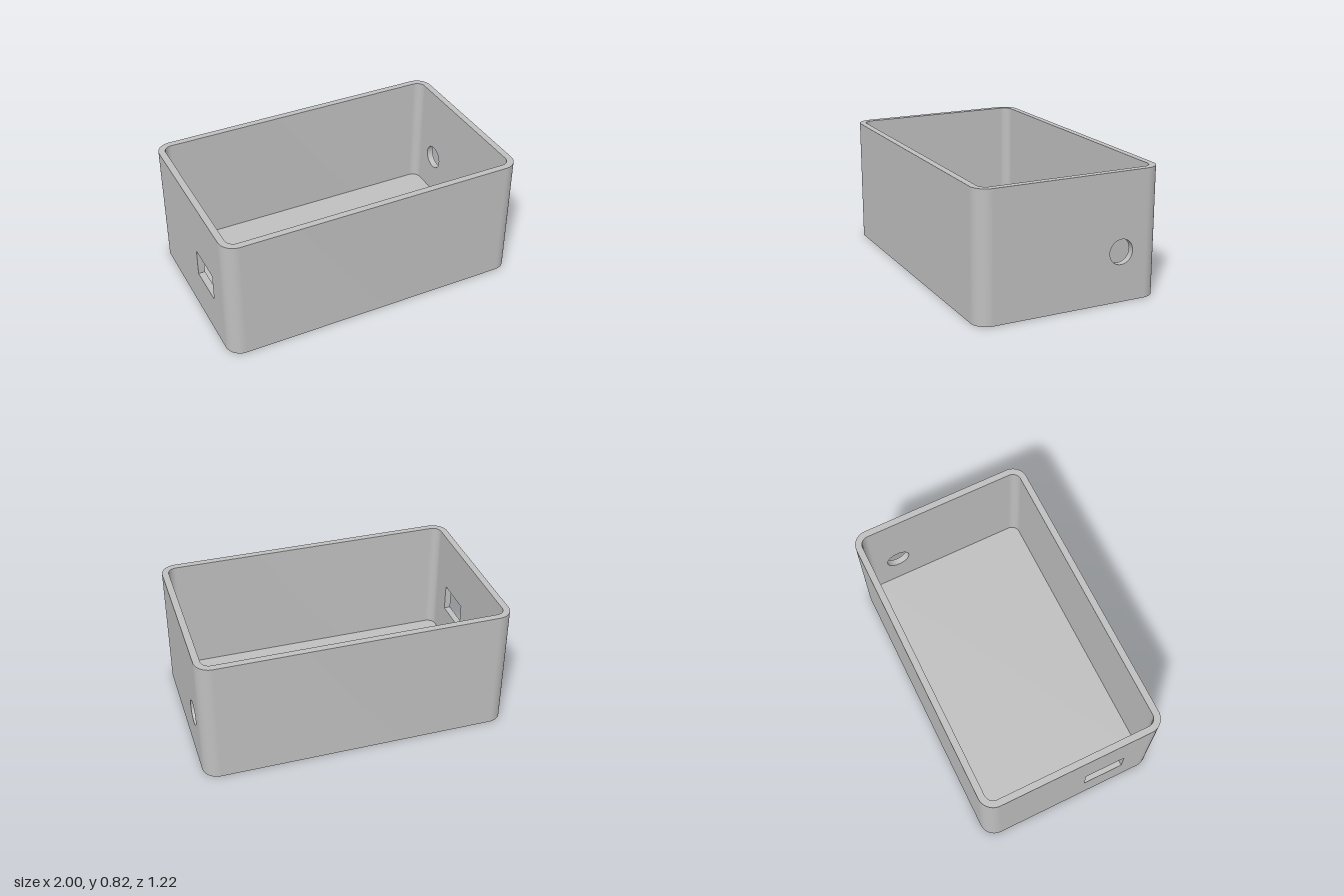
import * as THREE from 'three';
import { toCreasedNormals } from 'three/addons/utils/BufferGeometryUtils.js';

const W = 1, D = 0.61, H = 0.82;      // half width, half depth, height
const R = 0.1, T = 0.043;             // corner radius, wall thickness
const FLOOR = 0.045, RECESS = 0.022;  // floor thickness, foot recess depth
const CX = W - R, CZ = D - R;         // corner centres

const extrude = (shape, depth) => toCreasedNormals(
  new THREE.ExtrudeGeometry(shape, { depth, bevelEnabled: false, curveSegments: 24 }), 0.6);

const circlePath = (x, y, r) => new THREE.Path().absarc(x, y, r, 0, Math.PI * 2, true);

// Long wall with both of its rounded corners, seen from above
function longWallShape() {
  const s = new THREE.Shape(), r = R - T, q = Math.PI / 2;
  s.moveTo(W, CZ);
  s.absarc(CX, CZ, R, 0, q, false);
  s.absarc(-CX, CZ, R, q, Math.PI, false);
  s.lineTo(-W + T, CZ);
  s.absarc(-CX, CZ, r, Math.PI, q, true);
  s.absarc(CX, CZ, r, q, 0, true);
  s.closePath();
  return s;
}

// Floor outline that fits inside the walls
function floorShape() {
  const s = new THREE.Shape(), r = R - T, q = Math.PI / 2;
  s.absarc(CX, CZ, r, 0, q, false);
  s.absarc(-CX, CZ, r, q, 2 * q, false);
  s.absarc(-CX, -CZ, r, 2 * q, 3 * q, false);
  s.absarc(CX, -CZ, r, 3 * q, 4 * q, false);
  s.closePath();
  return s;
}

// Flat end wall with one opening
function endWallShape(opening) {
  const s = new THREE.Shape();
  s.moveTo(-CZ, 0).lineTo(CZ, 0).lineTo(CZ, H).lineTo(-CZ, H).closePath();
  s.holes.push(opening);
  return s;
}

export function createModel() {
  const group = new THREE.Group();
  group.name = 'enclosureBox';
  const grey = new THREE.MeshStandardMaterial({ color: 0xbfbfbf });
  grey.name = 'lightGrey';

  const add = (name, geometry) => {
    const mesh = new THREE.Mesh(geometry, grey);
    mesh.name = name;
    group.add(mesh);
    return mesh;
  };

  // Back and front walls
  const longWall = extrude(longWallShape(), H).rotateX(-Math.PI / 2);
  add('backWall', longWall);
  add('frontWall', longWall.clone().rotateY(Math.PI));

  // Left end with a round cable hole
  add('leftWall', extrude(endWallShape(circlePath(0.34, 0.32, 0.08)), T)
    .rotateY(Math.PI / 2).translate(W - T, 0, 0));

  // Right end with a rectangular port
  const port = new THREE.Path();
  port.moveTo(0.09, 0.275).lineTo(0.09, 0.455).lineTo(0.36, 0.455).lineTo(0.36, 0.275).closePath();
  add('rightWall', extrude(endWallShape(port), T)
    .rotateY(-Math.PI / 2).translate(-W + T, 0, 0));

  // Underside plate with four round foot recesses, closed by the floor above
  const underside = floorShape();
  for (const x of [-0.82, 0.82]) {
    for (const z of [-0.43, 0.43]) underside.holes.push(circlePath(x, z, 0.092));
  }
  add('underside', extrude(underside, RECESS).rotateX(-Math.PI / 2));
  add('floor', extrude(floorShape(), FLOOR - RECESS)
    .rotateX(-Math.PI / 2).translate(0, RECESS, 0));

  return group;
}
